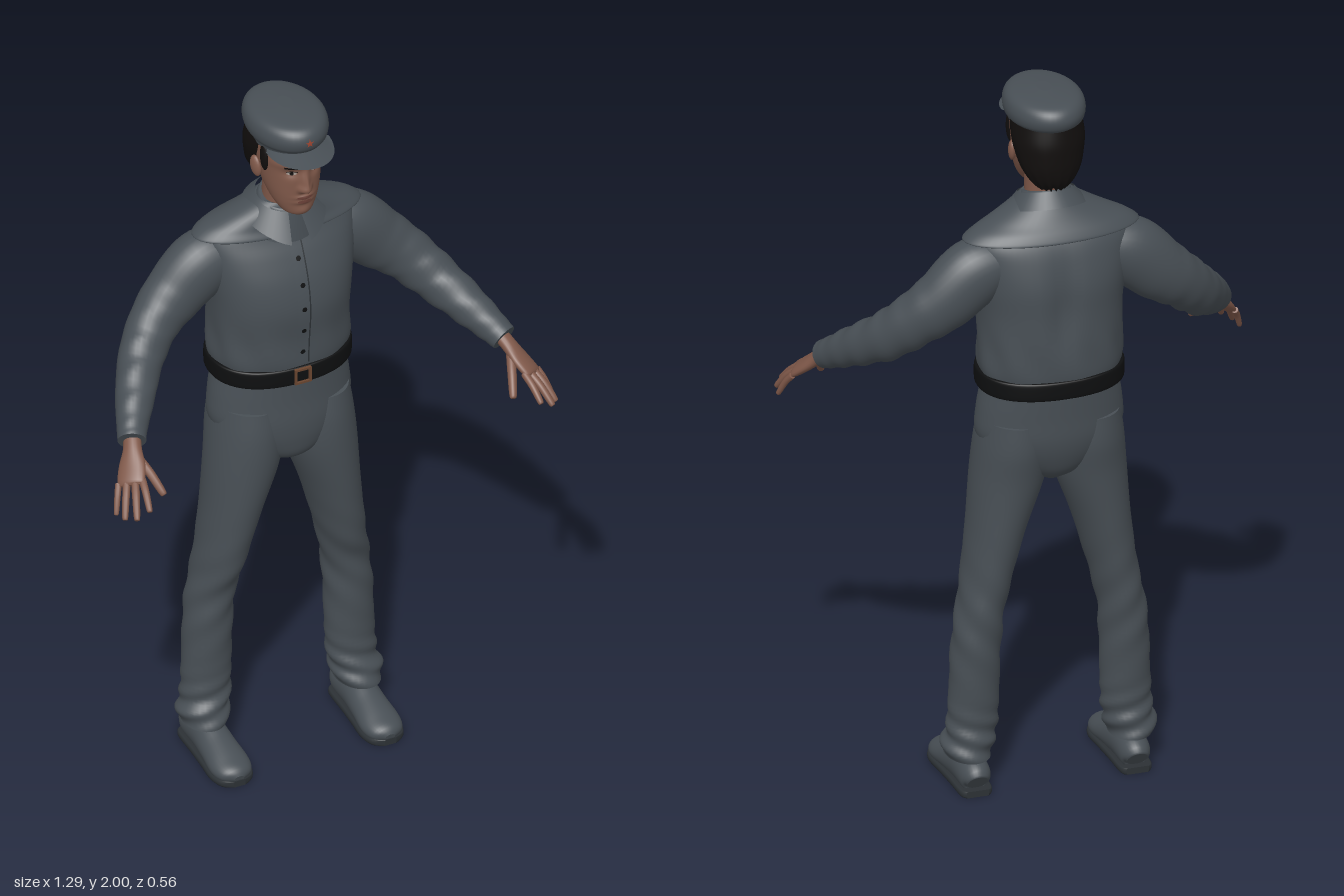
import * as THREE from 'three';
import { ParametricGeometry } from 'three/addons/geometries/ParametricGeometry.js';

const mat = (name, color, side = THREE.FrontSide) =>
  Object.assign(new THREE.MeshStandardMaterial({ color, side }), { name });
const cloth = mat('grey cloth', 0x484f55, THREE.DoubleSide);
const seam = mat('dark seam', 0x2c3135, THREE.DoubleSide);
const skin = mat('skin', 0x80594a);
const lip = mat('lips', 0x6b4138, THREE.DoubleSide);
const hairBlack = mat('black hair', 0x110e0d, THREE.DoubleSide);
const leather = mat('black leather', 0x0e0f10);
const eyeWhite = mat('eye white', 0xa59a92, THREE.DoubleSide);
const bronze = mat('bronze', 0x6b4630);
const red = mat('badge red', 0x9c4430, THREE.DoubleSide);

const mix = (a, b, c, d, t) =>
  0.5 * (2 * b + (c - a) * t + (2 * a - 5 * b + 4 * c - d) * t * t + (3 * b - a - 3 * c + d) * t ** 3);
const bump = (d, w) => Math.exp(-((d / w) ** 2));

// Smooth solid through sections [x, y, z, radiusU, radiusV]; rings lie flat unless ref gives a U direction
function loft(secs, { n = 32, steps = 5, ref = null, e = 1, warp = null } = {}) {
  const rows = [], last = secs.length - 1;
  for (let i = 0; i <= last * steps; i++) {
    const k = Math.min(Math.floor(i / steps), last - 1), t = i / steps - k;
    const at = (j) => secs[Math.max(0, Math.min(last, j))];
    rows.push(secs[0].map((_, c) => mix(at(k - 1)[c], at(k)[c], at(k + 1)[c], at(k + 2)[c], t)));
  }
  const center = (i) => new THREE.Vector3(...rows[Math.max(0, Math.min(rows.length - 1, i))]);
  const pos = [], idx = [];
  const sp = (v) => Math.sign(v) * Math.abs(v) ** e;
  rows.forEach((r, i) => {
    let u = new THREE.Vector3(1, 0, 0), v = new THREE.Vector3(0, 0, -1);
    if (ref) {
      const t = center(i + 1).sub(center(i - 1)).normalize();
      u = ref.clone().addScaledVector(t, -ref.dot(t)).normalize();
      v = t.clone().cross(u);
    }
    for (let j = 0; j < n; j++) {
      const a = (j / n) * Math.PI * 2;
      const p = center(i).addScaledVector(u, Math.max(r[3], 0.001) * sp(Math.cos(a)))
        .addScaledVector(v, Math.max(r[4], 0.001) * sp(Math.sin(a)));
      if (warp) warp(p, a, i / (rows.length - 1));
      pos.push(p.x, p.y, p.z);
    }
  });
  for (let i = 0; i < rows.length - 1; i++)
    for (let j = 0; j < n; j++) {
      const a = i * n + j, b = i * n + ((j + 1) % n);
      idx.push(a, b, b + n, a, b + n, a + n);
    }
  // End caps with their own vertices, so the rim stays crisp
  for (const [start, flip] of [[0, true], [(rows.length - 1) * n, false]]) {
    const base = pos.length / 3, mid = [0, 0, 0];
    for (let j = 0; j < n; j++)
      for (let c = 0; c < 3; c++) { const q = pos[(start + j) * 3 + c]; pos.push(q); mid[c] += q / n; }
    pos.push(...mid);
    for (let j = 0; j < n; j++) {
      const a = base + j, b = base + ((j + 1) % n);
      idx.push(base + n, flip ? b : a, flip ? a : b);
    }
  }
  const g = new THREE.BufferGeometry();
  g.setAttribute('position', new THREE.Float32BufferAttribute(pos, 3));
  g.setIndex(idx);
  g.computeVertexNormals();
  return g;
}

const upright = (secs, opt) => loft(secs.map(([y, z, rx, rz]) => [0, y, z, rx, rz]), opt);

function mirrored(geo) {
  const g = geo.clone().scale(-1, 1, 1), ix = g.index.array;
  for (let i = 0; i < ix.length; i += 3) [ix[i], ix[i + 1]] = [ix[i + 1], ix[i]];
  return g;
}

export function createModel() {
  const model = new THREE.Group();
  model.name = 'uniformedMan';
  const add = (name, geo, m) => {
    const mesh = new THREE.Mesh(geo, m);
    mesh.name = name;
    model.add(mesh);
    return mesh;
  };
  const pair = (name, geo, m) => { add(name + 'Left', geo, m); add(name + 'Right', mirrored(geo), m); };
  // Lays a flat shape on the front of the target meshes
  const ray = new THREE.Raycaster();
  const onFront = (geo, targets, lift = 0.003) => {
    const p = geo.attributes.position;
    for (let i = 0; i < p.count; i++) {
      ray.set(new THREE.Vector3(p.getX(i), p.getY(i), 1), new THREE.Vector3(0, 0, -1));
      const hit = ray.intersectObjects(targets)[0];
      if (hit) p.setZ(i, hit.point.z + lift);
    }
    geo.computeVertexNormals();
    return geo;
  };
  const disc = (x, y, rx, ry, n = 16) => new THREE.CircleGeometry(1, n).scale(rx, ry, 1).translate(x, y, 0);

  // Jacket body with soft folds above the belt
  const jacket = add('jacket', upright([
    [1.16, -0.13, 0.185, 0.138], [1.2, -0.13, 0.188, 0.14], [1.24, -0.13, 0.195, 0.145], [1.31, -0.13, 0.193, 0.147],
    [1.4, -0.125, 0.196, 0.15], [1.48, -0.13, 0.206, 0.143], [1.55, -0.136, 0.215, 0.122], [1.6, -0.14, 0.213, 0.1],
    [1.64, -0.135, 0.18, 0.08], [1.67, -0.125, 0.12, 0.07], [1.7, -0.11, 0.07, 0.06],
  ], {
    n: 64, e: 0.88,
    warp: (p, a) => {
      const f = 0.003 * Math.sin(a * 9 + p.y * 20) * bump(p.y - 1.27, 0.07);
      p.x += Math.cos(a) * f;
      p.z -= Math.sin(a) * f;
      if (p.z < -0.13) p.z += 0.018 * bump(p.x, 0.035) * bump(p.y - 1.42, 0.12);
    },
  }), cloth);
  const yoke = add('yoke', upright([
    [1.607, -0.14, 0.235, 0.1], [1.612, -0.14, 0.242, 0.103], [1.632, -0.138, 0.215, 0.093],
    [1.652, -0.13, 0.172, 0.084], [1.677, -0.12, 0.12, 0.075], [1.705, -0.11, 0.07, 0.062],
  ], { n: 48 }), cloth);

  // Placket, its seam and buttons
  const front = [jacket, yoke];
  add('placket', onFront(new THREE.PlaneGeometry(0.034, 0.4, 4, 30).translate(0, 1.43, 0), front, 0.004), cloth);
  add('placketSeam', onFront(new THREE.PlaneGeometry(0.004, 0.4, 1, 30).translate(0.019, 1.43, 0), front, 0.004), seam);
  for (let i = 0; i < 6; i++)
    add('button', onFront(disc(0, 1.27 + i * 0.07, 0.007, 0.007), front, 0.008), leather);

  // Standing collar and folded collar wings
  const tilt = (p) => { p.y -= (p.z + 0.1) * 0.3; };
  add('collar', upright([[1.62, -0.105, 0.1, 0.085], [1.66, -0.1, 0.082, 0.075], [1.7, -0.098, 0.07, 0.066],
    [1.71, -0.097, 0.064, 0.06]], { warp: tilt }), cloth);
  add('collarFold', new ParametricGeometry((u, v, out) => {
    const a = 0.22 + u * (Math.PI * 2 - 0.44), point = bump(Math.sin(a / 2), 0.35);
    const r = 0.07 + v * (0.035 + 0.015 * point);
    const z = -0.1 + Math.cos(a) * r * 0.98;
    out.set(Math.sin(a) * r * 1.08, 1.708 - v * (0.045 + 0.02 * point) - (z + 0.1) * 0.3, z);
  }, 40, 6), cloth);

  // Sleeves
  const up = new THREE.Vector3(0.3, 1, 0);
  pair('sleeve', loft([
    [0.12, 1.55, -0.145, 0.06, 0.07], [0.21, 1.52, -0.148, 0.092, 0.08], [0.295, 1.447, -0.145, 0.086, 0.074],
    [0.365, 1.39, -0.122, 0.074, 0.066], [0.43, 1.325, -0.07, 0.066, 0.06], [0.49, 1.265, 0.015, 0.054, 0.052],
    [0.53, 1.222, 0.08, 0.043, 0.041], [0.545, 1.205, 0.11, 0.038, 0.038],
  ], {
    ref: up, steps: 8,
    warp: (p, a, t) => { p.y += 0.004 * Math.sin(t * 60 + a * 2) * bump(t - 0.6, 0.25); },
  }), cloth);

  // Hands: palm, four fingers and a thumb
  const across = new THREE.Vector3(0.055, -0.025, -0.035).normalize();
  pair('palm', loft([
    [0.54, 1.21, 0.1, 0.024, 0.02], [0.552, 1.19, 0.127, 0.026, 0.019], [0.568, 1.162, 0.158, 0.037, 0.017],
    [0.586, 1.135, 0.188, 0.039, 0.014], [0.59, 1.128, 0.196, 0.032, 0.007],
  ], { ref: across, n: 20 }), skin);
  const finger = (name, a, b, r) => {
    const m = a.map((q, i) => (q + b[i]) / 2);
    m[1] += 0.006;
    const tip = b.map((q, i) => q + (q - m[i]) * 0.08);
    pair(name, loft([[...a, r, r], [...m, r * 0.95, r * 0.95], [...b, r * 0.75, r * 0.75], [...tip, 0.002, 0.002]],
      { ref: across, n: 12 }), skin);
  };
  finger('indexFinger', [0.56, 1.142, 0.202], [0.573, 1.09, 0.272], 0.0105);
  finger('middleFinger', [0.578, 1.136, 0.196], [0.608, 1.072, 0.268], 0.011);
  finger('ringFinger', [0.597, 1.13, 0.184], [0.63, 1.064, 0.242], 0.0105);
  finger('littleFinger', [0.613, 1.124, 0.168], [0.638, 1.06, 0.206], 0.009);
  finger('thumb', [0.547, 1.175, 0.147], [0.513, 1.102, 0.23], 0.013);

  // Trousers: seat and two legs bunched at the ankle
  add('trouserSeat', upright([
    [0.885, -0.115, 0.03, 0.05], [0.92, -0.115, 0.1, 0.1], [0.97, -0.12, 0.165, 0.122], [1.03, -0.125, 0.2, 0.133],
    [1.1, -0.128, 0.198, 0.134], [1.17, -0.13, 0.186, 0.136], [1.2, -0.13, 0.186, 0.137],
  ], { n: 48 }), cloth);
  pair('trouserLeg', loft([
    [0.225, 0.095, -0.12, 0.062, 0.077], [0.224, 0.13, -0.122, 0.069, 0.074], [0.215, 0.17, -0.127, 0.068, 0.062],
    [0.21, 0.25, -0.13, 0.068, 0.061], [0.205, 0.4, -0.132, 0.066, 0.069], [0.195, 0.5, -0.132, 0.064, 0.074],
    [0.175, 0.6, -0.122, 0.066, 0.089], [0.145, 0.75, -0.117, 0.078, 0.104], [0.113, 0.9, -0.116, 0.099, 0.117],
    [0.102, 1.0, -0.122, 0.1, 0.125], [0.1, 1.08, -0.126, 0.09, 0.12],
  ], {
    steps: 8,
    warp: (p, a) => {
      const f = 0.005 * Math.sin(p.y * 110 + a * 2) * bump(p.y - 0.14, 0.09)
        + 0.003 * Math.sin(p.y * 55 + a * 3) * bump(p.y - 0.48, 0.15);
      p.x += Math.cos(a) * f;
      p.z -= Math.sin(a) * f;
    },
  }), cloth);

  // Shoes and soles, flattened underneath
  const sideways = new THREE.Vector3(1, 0, 0);
  const shoe = [[-0.2, 0.04, 0.028, 0.03], [-0.18, 0.05, 0.042, 0.048], [-0.1, 0.055, 0.046, 0.055],
    [-0.03, 0.043, 0.051, 0.045], [0.035, 0.03, 0.056, 0.036], [0.075, 0.026, 0.043, 0.026], [0.092, 0.022, 0.014, 0.01]];
  pair('shoe', loft(shoe.map(([z, y, rx, ry]) => [0.221, y, z, rx, ry]),
    { ref: sideways, warp: (p) => { p.y = Math.max(p.y, 0.014); } }), cloth);
  pair('sole', loft(shoe.map(([z, , rx]) => [0.221, 0.01, z * 1.02, rx + 0.003, 0.03]),
    { ref: sideways, warp: (p) => { p.y = Math.max(0, Math.min(0.018, p.y)); } }), seam);

  // Belt and buckle
  add('belt', upright([[1.168, -0.13, 0.193, 0.143], [1.172, -0.13, 0.199, 0.148], [1.195, -0.13, 0.2, 0.149],
    [1.216, -0.13, 0.199, 0.148], [1.22, -0.13, 0.193, 0.143]], { n: 64, e: 0.88 }), leather);
  const frame = new THREE.Shape([[-1, -1], [1, -1], [1, 1], [-1, 1]].map(([x, y]) => new THREE.Vector2(x * 0.024, y * 0.023)));
  frame.holes.push(new THREE.Path([[-1, -1], [-1, 1], [1, 1], [1, -1]].map(([x, y]) => new THREE.Vector2(x * 0.018, y * 0.017))));
  add('buckle', new THREE.ExtrudeGeometry(frame, { depth: 0.008, bevelEnabled: false }).translate(0, 1.195, 0.017), bronze);

  // Neck and head, with brow, sockets, nose, lips and chin pushed out of the surface
  add('neck', upright([[1.62, -0.11, 0.06, 0.06], [1.7, -0.1, 0.056, 0.057], [1.78, -0.095, 0.056, 0.06]]), skin);
  const head = add('head', upright([
    [1.705, -0.005, 0.022, 0.02], [1.714, -0.022, 0.042, 0.044], [1.74, -0.036, 0.059, 0.062], [1.77, -0.05, 0.07, 0.08],
    [1.8, -0.062, 0.077, 0.094], [1.84, -0.075, 0.083, 0.109], [1.88, -0.08, 0.087, 0.115], [1.92, -0.08, 0.086, 0.112],
    [1.95, -0.08, 0.07, 0.095],
  ], {
    n: 96, steps: 8, e: 0.94,
    warp: (p) => {
      if (p.z < -0.03) return;
      const x = Math.abs(p.x), y = p.y;
      const ridge = THREE.MathUtils.clamp((1.858 - y) / 0.055, 0, 1) * THREE.MathUtils.smoothstep(y, 1.778, 1.795);
      p.z += 0.024 * ridge * bump(x, 0.011) + 0.01 * bump(x - 0.013, 0.007) * bump(y - 1.797, 0.01)
        - 0.009 * bump(x - 0.034, 0.018) * bump(y - 1.847, 0.014) + 0.004 * bump(y - 1.872, 0.012)
        + 0.007 * bump(x, 0.024) * (bump(y - 1.768, 0.006) + bump(y - 1.753, 0.007)) + 0.005 * bump(x, 0.02) * bump(y - 1.722, 0.014);
    },
  }), skin);
  for (const s of [-1, 1]) {
    add('eye', onFront(disc(s * 0.034, 1.846, 0.0125, 0.0048), [head], 0.002), eyeWhite);
    add('iris', onFront(disc(s * 0.034, 1.846, 0.005, 0.0048), [head], 0.004), hairBlack);
    add('eyelid', onFront(new THREE.PlaneGeometry(0.028, 0.003, 6, 1).translate(s * 0.034, 1.852, 0), [head]), hairBlack);
    add('eyebrow', onFront(new THREE.PlaneGeometry(0.036, 0.006, 6, 1).rotateZ(s * 0.08)
      .translate(s * 0.036, 1.866, 0), [head]), hairBlack);
  }
  add('upperLip', onFront(disc(0, 1.768, 0.024, 0.005), [head], 0.002), lip);
  add('lowerLip', onFront(disc(0, 1.755, 0.02, 0.006), [head], 0.002), lip);
  pair('ear', new THREE.SphereGeometry(1, 16, 12).scale(0.011, 0.031, 0.019).rotateX(-0.2).rotateY(-0.3)
    .translate(0.087, 1.825, -0.083), skin);

  // Hair on the back and sides, with sideburns
  add('hair', upright([
    [1.745, -0.165, 0.035, 0.025], [1.765, -0.16, 0.058, 0.045], [1.8, -0.147, 0.08, 0.066], [1.84, -0.131, 0.092, 0.084],
    [1.88, -0.118, 0.098, 0.096], [1.93, -0.1, 0.094, 0.105],
  ], {
    n: 48,
    warp: (p, a, t) => { p.y += 0.007 * Math.sin(a * 15) * (1 - t); },
  }), hairBlack);
  pair('sideburn', new THREE.SphereGeometry(1, 16, 10).scale(0.012, 0.045, 0.018).translate(0.079, 1.877, -0.045), hairBlack);

  // Cap: band, soft crown, peak and badge
  const crown = add('capCrown', upright([
    [1.905, -0.08, 0.09, 0.117], [1.918, -0.081, 0.094, 0.124], [1.932, -0.084, 0.103, 0.139], [1.956, -0.085, 0.106, 0.145],
    [1.98, -0.085, 0.098, 0.134], [1.993, -0.085, 0.075, 0.105], [2.0, -0.085, 0.02, 0.03],
  ], { n: 48 }), cloth);
  add('capPeak', new ParametricGeometry((u, v, out) => {
    const a = Math.PI * u, c = Math.cos(a), s = Math.sin(a);
    out.set(c * (0.08 + 0.012 * v), 1.922 - 0.018 * v * s - 0.012 * c * c,
      THREE.MathUtils.lerp(-0.03 + 0.05 * s, -0.012 + 0.117 * s, v));
  }, 32, 6), cloth);
  const star = new THREE.Shape(Array.from({ length: 10 }, (_, i) => {
    const r = i % 2 ? 0.005 : 0.013, a = Math.PI / 2 + (i * Math.PI) / 5;
    return new THREE.Vector2(r * Math.cos(a), r * Math.sin(a));
  }));
  add('badge', onFront(new THREE.ShapeGeometry(star).translate(0, 1.956, 0), [crown], 0.004), red);

  return model;
}
